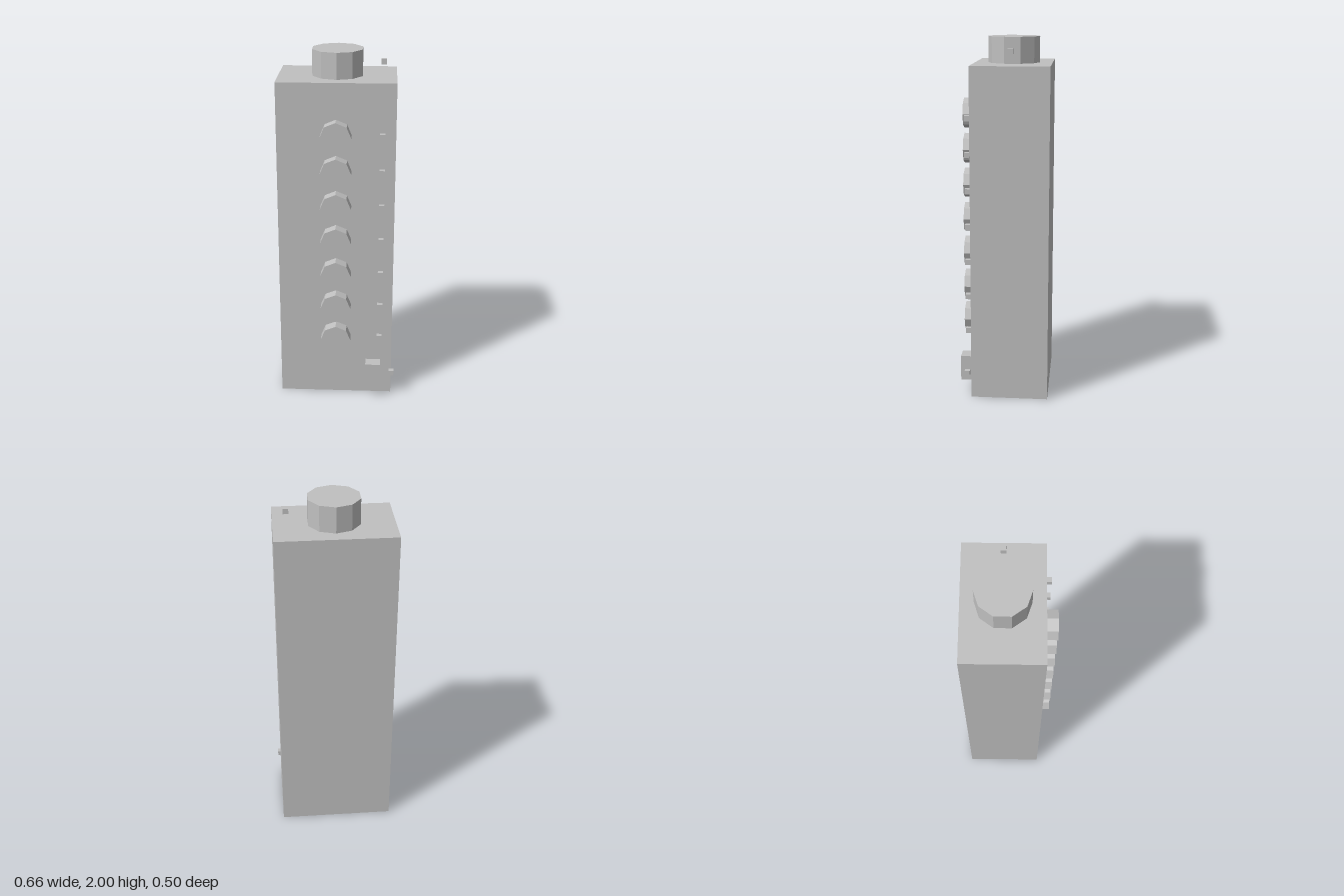
import * as THREE from 'three';

export function createModel() {
  const model = new THREE.Group();
  const grey = new THREE.MeshStandardMaterial({ color: 0xc0c0c0, flatShading: true });
  grey.name = 'plain grey';

  function add(name, geometry, x, y, z) {
    const mesh = new THREE.Mesh(geometry, grey);
    mesh.name = name;
    mesh.position.set(x, y, z);
    model.add(mesh);
    return mesh;
  }

  const centreX = -0.008;
  const frontZ = 0.18;
  const bodyTop = 1.857;

  // Tall cabinet
  add('body', new THREE.BoxGeometry(0.643, bodyTop, 0.428), centreX, bodyTop / 2, -0.034);

  // Large ten-sided knob on top
  const capHeight = 2 - bodyTop;
  add('topKnob', new THREE.CylinderGeometry(0.143, 0.143, capHeight, 10), centreX, bodyTop + capHeight / 2, -0.034);

  // Small cubes marking each control
  const markerGeometry = new THREE.BoxGeometry(0.029, 0.029, 0.029);
  const markerX = 0.242;
  const markerZ = 0.202;
  add('topMarker', markerGeometry, markerX, 1.929, -0.034);

  // Column of eight-sided knobs, each with its marker
  const knobDepth = 0.067;
  const knobGeometry = new THREE.CylinderGeometry(0.085, 0.085, knobDepth, 8).rotateX(Math.PI / 2);
  for (let i = 0; i < 7; i++) {
    const y = 0.375 + i * 0.2;
    add('frontKnob' + (i + 1), knobGeometry, centreX, y, frontZ + knobDepth / 2);
    add('knobMarker' + (i + 1), markerGeometry, markerX, y, markerZ);
  }

  // Switch block near the base with its marker
  add('switchBlock', new THREE.BoxGeometry(0.086, 0.143, knobDepth), 0.207, 0.146, frontZ + knobDepth / 2);
  add('switchMarker', markerGeometry, 0.314, 0.146, markerZ);

  return model;
}
